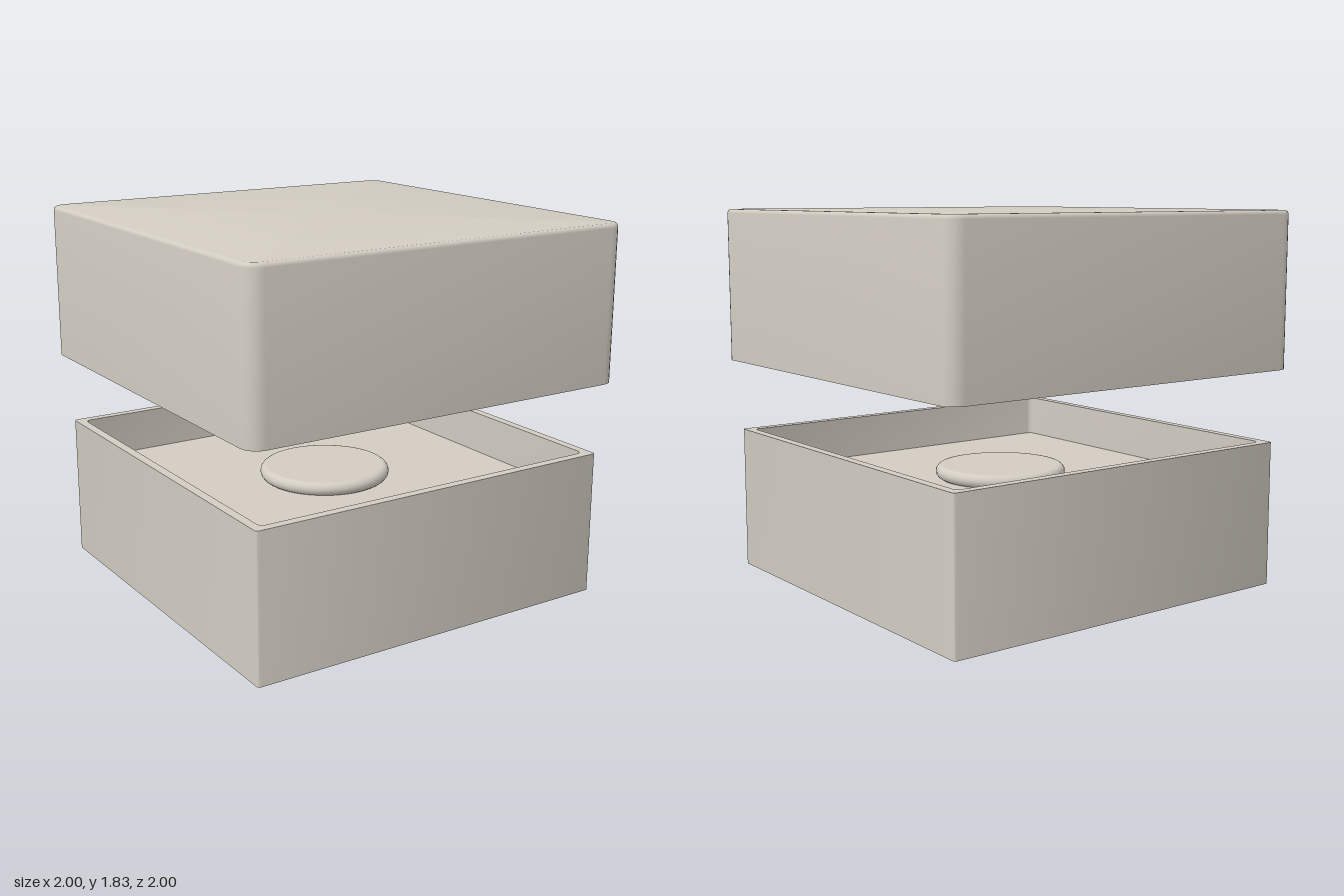
import * as THREE from 'three';
import { toCreasedNormals } from 'three/addons/utils/BufferGeometryUtils.js';

const STEPS = 6; // segments per rounded corner

// Rounded square outline, counter-clockwise seen from above
function ring([half, radius, y]) {
  const points = [];
  for (let corner = 0; corner < 4; corner++) {
    const mid = Math.PI / 4 + corner * Math.PI / 2;
    const cx = Math.sign(Math.cos(mid)) * (half - radius);
    const cz = Math.sign(Math.sin(mid)) * (half - radius);
    for (let i = 0; i <= STEPS; i++) {
      const a = (corner + i / STEPS) * Math.PI / 2;
      points.push([cx + radius * Math.cos(a), y, -(cz + radius * Math.sin(a))]);
    }
  }
  return points;
}

// Joins outlines [half, radius, y] into one skin, closing both ends flat
function loft(profile) {
  const rings = profile.map(ring);
  const out = [];
  const n = rings[0].length;
  const first = [0, profile[0][2], 0];
  const last = [0, profile[profile.length - 1][2], 0];
  const end = rings[rings.length - 1];
  for (let i = 0; i < n; i++) {
    const j = (i + 1) % n;
    out.push(...first, ...rings[0][j], ...rings[0][i]);
    for (let k = 0; k < rings.length - 1; k++) {
      const a = rings[k], b = rings[k + 1];
      out.push(...a[i], ...a[j], ...b[j], ...a[i], ...b[j], ...b[i]);
    }
    out.push(...last, ...end[i], ...end[j]);
  }
  const geometry = new THREE.BufferGeometry();
  geometry.setAttribute('position', new THREE.Float32BufferAttribute(out, 3));
  return toCreasedNormals(geometry, 0.6);
}

export function createModel() {
  const model = new THREE.Group();
  model.name = 'openBox';
  const beige = new THREE.MeshStandardMaterial({ color: 0xd2ccc2 });
  beige.name = 'warm beige';

  const add = (name, geometry) => {
    const mesh = new THREE.Mesh(geometry, beige);
    mesh.name = name;
    model.add(mesh);
    return mesh;
  };

  // Tray: outer walls, rim, inner walls and raised floor
  const floorY = 0.5;
  add('tray', loft([
    [0.945, 0.015, 0], [0.945, 0.015, 0.71],
    [0.9, 0.03, 0.71], [0.9, 0.03, floorY],
  ]));

  // Lid: ceiling, inner walls, rim, outer walls and softened top edge
  const bevel = 0.02, top = 1.83;
  const lid = [[0.952, 0.03, 1.77], [0.952, 0.03, 1.07], [1, 0.08, 1.07]];
  for (let i = 0; i <= 4; i++) {
    const a = i / 4 * Math.PI / 2;
    const inset = bevel * (1 - Math.cos(a));
    lid.push([1 - inset, 0.08 - inset, top - bevel + bevel * Math.sin(a)]);
  }
  add('lid', loft(lid));

  // Round pad with a bulging edge on the tray floor
  const tube = 0.034, padRadius = 0.29;
  const pad = add('pad', new THREE.CylinderGeometry(padRadius, padRadius, 2 * tube, 48));
  pad.position.y = floorY + tube;
  const edge = add('padEdge', new THREE.TorusGeometry(padRadius, tube, 16, 48));
  edge.rotation.x = Math.PI / 2;
  edge.position.y = floorY + tube;

  return model;
}
